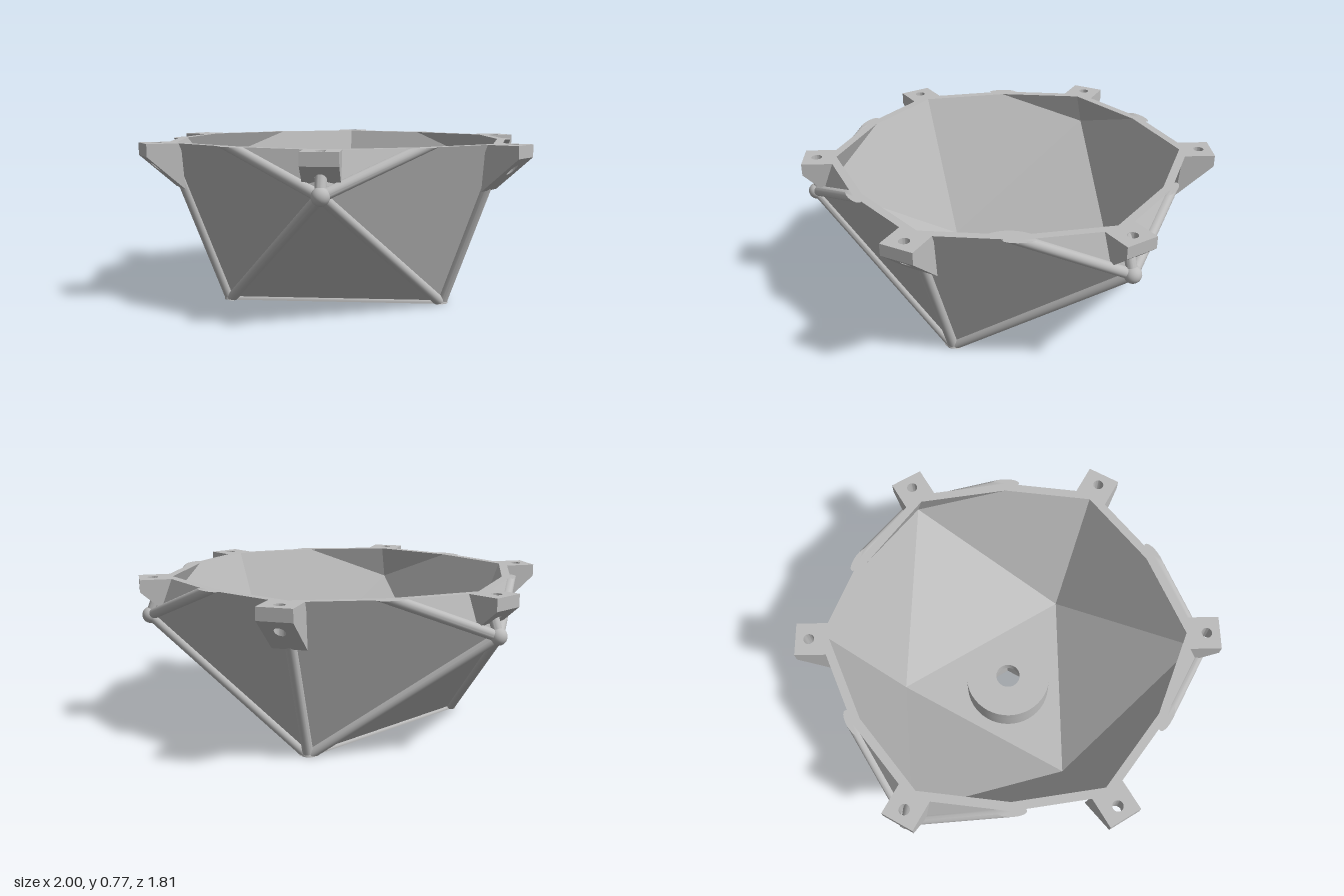
import * as THREE from 'three';
import { toCreasedNormals } from 'three/addons/utils/BufferGeometryUtils.js';

const H = 0.77;                       // cutting plane through the icosahedron's centre
const R = 0.59, PHI = (1 + Math.sqrt(5)) / 2;
const EDGE = R * Math.sqrt(3);
const Y2 = H - 0.1784 * EDGE;         // height of the second ring of corners
const INNER = 0.951;                  // inner shell scale about the centre
const TUBE_R = 0.025;

const polar = (r, deg, y) => {
  const a = THREE.MathUtils.degToRad(deg);
  return new THREE.Vector3(r * Math.cos(a), y, r * Math.sin(a));
};
const low = k => polar(R, 120 * k + 60, 0);
const mid = k => polar(R * PHI, 120 * k, Y2);
const rim = i => polar(i % 2 ? R * PHI * Math.cos(Math.PI / 6) : 0.885, 30 * i, H);
const inward = p => new THREE.Vector3(p.x * INNER, H + (p.y - H) * INNER, p.z * INNER);

export function createModel() {
  const group = new THREE.Group();
  const grey = new THREE.MeshStandardMaterial({ color: 0xbcbcbc, side: THREE.DoubleSide });
  grey.name = 'light grey';
  const add = (name, geometry) => {
    const mesh = new THREE.Mesh(geometry, grey);
    mesh.name = name;
    group.add(mesh);
    return mesh;
  };

  // Hollow faceted bowl: outer faces, inner faces and flat rim
  const pos = [];
  const face = (...p) => {
    for (let i = 1; i < p.length - 1; i++)
      for (const v of [p[0], p[i], p[i + 1]]) pos.push(v.x, v.y, v.z);
  };
  for (let k = 0; k < 3; k++) {
    const t = i => rim(4 * k + i);
    const faces = [
      [low(k), low(k - 1), mid(k)],
      [mid(k), t(0), t(1)],
      [low(k), mid(k), t(1), t(2)],
      [low(k), t(2), t(3), mid(k + 1)],
      [mid(k + 1), t(3), t(4)],
    ];
    for (const f of faces) {
      face(...f);
      face(...f.map(inward).reverse());
    }
  }
  for (let i = 0; i < 12; i++)
    face(rim(i), inward(rim(i)), inward(rim(i + 1)), rim(i + 1));
  const shell = new THREE.BufferGeometry();
  shell.setAttribute('position', new THREE.Float32BufferAttribute(pos, 3));
  shell.computeVertexNormals();
  add('bowlWall', shell);

  // Floor and central boss with a hexagonal pocket below a round bolt hole
  const polygon = (Type, r, n, start) => new Type(Array.from({ length: n }, (_, i) => {
    const a = start + (i * 2 * Math.PI) / n;
    return new THREE.Vector2(r * Math.cos(a), r * Math.sin(a));
  }));
  const slab = (name, outline, hole, y0, y1) => {
    outline.holes.push(hole);
    const g = new THREE.ExtrudeGeometry(outline, { depth: y1 - y0, bevelEnabled: false });
    g.rotateX(-Math.PI / 2).translate(0, y0, 0);
    add(name, toCreasedNormals(g, 0.5));
  };
  const hex = () => polygon(THREE.Path, 0.1, 6, Math.PI / 6);
  const disc = () => polygon(THREE.Shape, 0.22, 48, 0);
  const floorY = H * (1 - INNER);
  slab('floor', polygon(THREE.Shape, R, 3, Math.PI / 3), hex(), 0, floorY);
  slab('bossBase', disc(), hex(), floorY, 0.15);
  slab('bossTop', disc(), polygon(THREE.Path, 0.062, 32, 0), 0.15, 0.2);

  // Edge tubes, with ends trimmed flush to the base and rim planes
  const tube = (name, a, b) => {
    const d = b.clone().sub(a), len = d.length();
    d.normalize();
    const g = new THREE.CylinderGeometry(TUBE_R, TUBE_R, len, 20, 1);
    const p = g.attributes.position, v = new THREE.Vector3();
    const q = new THREE.Quaternion().setFromUnitVectors(new THREE.Vector3(0, 1, 0), d);
    const centre = a.clone().add(b).multiplyScalar(0.5);
    for (let i = 0; i < p.count; i++) {
      const end = p.getY(i) > 0 ? b : a;
      v.fromBufferAttribute(p, i).applyQuaternion(q).add(centre);
      if (Math.abs(d.y) < 0.01) v.y = Math.max(0, v.y);
      else if (end.y === 0 || end.y === H) v.addScaledVector(d, (end.y - v.y) / d.y);
      p.setXYZ(i, v.x, v.y, v.z);
    }
    add(name, toCreasedNormals(g, 0.6));
  };
  for (let k = 0; k < 3; k++) {
    tube('baseTube', low(k), low(k + 1));
    tube('sideTube', low(k), mid(k));
    tube('sideTube', low(k), mid(k + 1));
    tube('uprightTube', low(k), rim(4 * k + 2));
    for (const i of [-1, 0, 1]) tube('rimTube', mid(k), rim(4 * k + i + 12));

    // Ball joints, halved at the base
    add('ballJoint', new THREE.SphereGeometry(0.04, 24, 16)).position.copy(mid(k));
    add('baseJoint', new THREE.SphereGeometry(0.031, 24, 8, 0, Math.PI * 2, 0, Math.PI / 2))
      .position.copy(low(k));
  }

  // Mounting tabs: drilled wedges whose underside slopes down to the wall
  for (let i = 0; i < 6; i++) {
    const plan = new THREE.Shape([[0.842, -0.08], [1, -0.08], [1, 0.08], [0.842, 0.08]]
      .map(([x, y]) => new THREE.Vector2(x, y)));
    plan.holes.push(new THREE.Path().absarc(0.937, 0, 0.025, 0, Math.PI * 2, true));
    const g = new THREE.ExtrudeGeometry(plan, { depth: 0.1, bevelEnabled: false, curveSegments: 24 });
    g.rotateX(-Math.PI / 2);
    const p = g.attributes.position;
    for (let j = 0; j < p.count; j++) {
      if (p.getY(j) > 0.05) { p.setY(j, H); continue; }
      if (p.getX(j) < 0.85) p.setX(j, i % 2 ? 0.825 : 0.9);
      p.setY(j, 0.712 - 0.88 * (1 - p.getX(j)));
    }
    add('mountingTab', toCreasedNormals(g, 0.5)).rotation.y = -i * Math.PI / 3;
  }
  return group;
}
